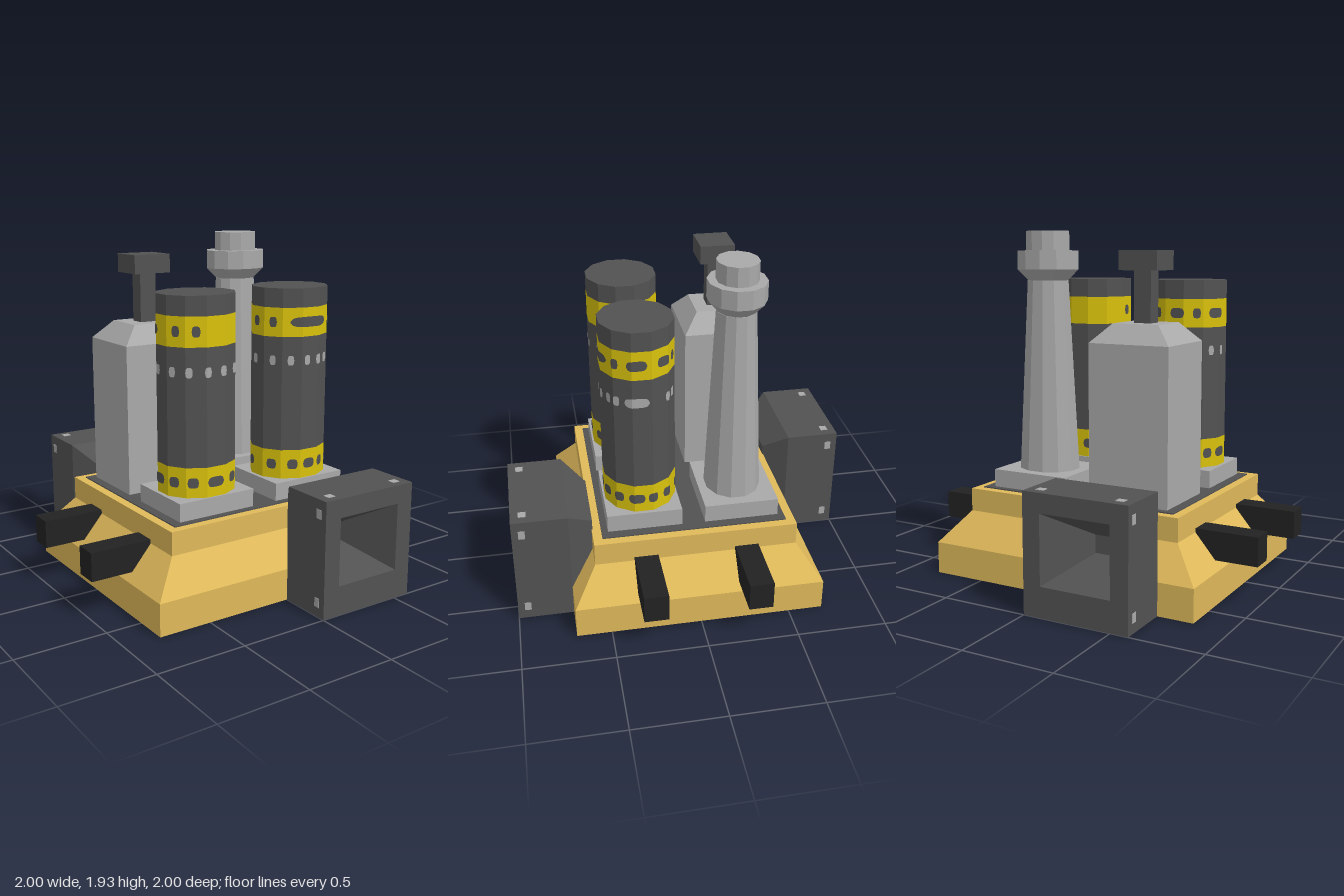
import * as THREE from 'three';

const paint = (name, color) => {
  const m = new THREE.MeshStandardMaterial({ color });
  m.name = name;
  return m;
};

// Flat-faced version of a geometry
function flat(geo) {
  const g = geo.index ? geo.toNonIndexed() : geo;
  g.computeVertexNormals();
  return g;
}

// Closed solid through rectangular sections [halfX, halfZ, y, offsetZ]
function loft(sections) {
  const pos = [], idx = [];
  for (const [hx, hz, y, oz = 0] of sections)
    for (const [sx, sz] of [[1, 1], [1, -1], [-1, -1], [-1, 1]]) pos.push(sx * hx, y, sz * hz + oz);
  for (let i = 0; i < sections.length - 1; i++)
    for (let j = 0; j < 4; j++) {
      const a = i * 4 + j, b = i * 4 + (j + 1) % 4;
      idx.push(a, b, b + 4, a, b + 4, a + 4);
    }
  const t = (sections.length - 1) * 4;
  idx.push(0, 2, 1, 0, 3, 2, t, t + 1, t + 2, t, t + 2, t + 3);
  const g = new THREE.BufferGeometry();
  g.setAttribute('position', new THREE.Float32BufferAttribute(pos, 3));
  g.setIndex(idx);
  return flat(g);
}

// Twelve-sided drum with flats facing the axes; radii are half widths in x
const APOTHEM = Math.cos(Math.PI / 12);
function drum(rTop, rBottom, y0, y1, squash) {
  const g = new THREE.CylinderGeometry(rTop / APOTHEM, rBottom / APOTHEM, y1 - y0, 12);
  g.rotateY(Math.PI / 12).translate(0, (y0 + y1) / 2, 0).scale(1, 1, squash);
  return flat(g);
}

// Thin rounded mark wrapped on a twelve-sided drum, between two angles in degrees
function wrappedMark(from, to, y, halfHeight, r, squash) {
  const n = 16, pos = [], idx = [];
  for (let i = 0; i <= n; i++) {
    const t = i / n, deg = from + (to - from) * t, a = THREE.MathUtils.degToRad(deg);
    const off = THREE.MathUtils.degToRad(deg - 30 * Math.round(deg / 30));
    const d = r / Math.cos(off) + 0.004;
    const h = halfHeight * Math.sqrt(Math.max(0, 1 - Math.abs(2 * t - 1) ** 4)) + 0.002;
    pos.push(Math.sin(a) * d, y - h, Math.cos(a) * d * squash, Math.sin(a) * d, y + h, Math.cos(a) * d * squash);
    if (i < n) idx.push(2 * i, 2 * i + 2, 2 * i + 3, 2 * i, 2 * i + 3, 2 * i + 1);
  }
  const g = new THREE.BufferGeometry();
  g.setAttribute('position', new THREE.Float32BufferAttribute(pos, 3));
  g.setIndex(idx);
  return flat(g);
}

export function createModel() {
  const sand = paint('sandYellow', 0xdfb95a);
  const band = paint('bandYellow', 0xd9c20c);
  const dark = paint('darkGrey', 0x525252);
  const light = paint('lightGrey', 0xa9a9a9);
  const black = paint('black', 0x222222);

  const model = new THREE.Group();
  model.name = 'factory';
  const add = (parent, name, geo, mat, x = 0, y = 0, z = 0) => {
    const m = new THREE.Mesh(geo, mat);
    m.name = name;
    m.position.set(x, y, z);
    parent.add(m);
    return m;
  };
  const box = (w, h, d) => new THREE.BoxGeometry(w, h, d);
  const group = (name, x, z) => {
    const g = new THREE.Group();
    g.name = name;
    g.position.set(x, 0, z);
    model.add(g);
    return g;
  };

  // Base with sloped shoulders and dark deck
  add(model, 'base', loft([[0.8, 0.693, 0], [0.8, 0.693, 0.178], [0.65, 0.565, 0.355], [0.65, 0.565, 0.484]]), sand);
  add(model, 'deck', box(1.2, 0.008, 1.03), dark, 0, 0.486, 0);

  // Side rails
  for (const sx of [-1, 1])
    for (const sz of [-1, 1])
      add(model, 'sideRail', box(0.4, 0.157, 0.132), black, sx * 0.8, 0.298, sz * 0.282);

  // Silos: marks are [from, to] angles, measured from the front towards +x
  const dots = (half, ...centres) => centres.map(c => [c - half, c + half]);
  const silos = [
    {
      x: 0.3125,
      upper: [[-66, -54], [-34, 32], [43, 54], [67, 98], [115, 138], [146, 156], [262, 274]],
      lower: [...dots(8, -60, -27, 24, 50, 105, 132, 165, 225, 255), [-10, 10], [66, 92], [186, 208]],
      windows: [...dots(5, -60, -32, -6, 15, 34, 50, 135, 150, 210, 265), [63, 101]],
    },
    {
      x: -0.3125,
      upper: [...dots(6, -60, -30, 57, 150, 215), [74, 100], [115, 138], [235, 262], [174, 196]],
      lower: [...dots(8, -64, -35, 34, 60, 120, 150, 210, 235), [-14, 12], [78, 102], [168, 192], [250, 276]],
      windows: [...dots(5, -66, -40, -13, 12, 40, 57, 115, 140, 165, 240, 262), [190, 218]],
    },
  ];
  const R = 0.213, SQ = 0.923;
  for (const s of silos) {
    const g = group('silo', s.x, 0.272);
    add(g, 'plinth', box(0.47, 0.105, 0.415), light, 0, 0.5375, 0);
    [[0.59, 0.755, band], [0.755, 1.395, dark], [1.395, 1.555, band], [1.555, 1.66, dark]].forEach(([y0, y1, m]) =>
      add(g, m === band ? 'siloBand' : 'siloShell', drum(R, R, y0, y1, SQ), m));
    for (const [list, y, h, m, name] of [
      [s.upper, 1.476, 0.026, dark, 'upperMark'],
      [s.lower, 0.672, 0.026, dark, 'lowerMark'],
      [s.windows, 1.264, 0.025, light, 'siloWindow'],
    ])
      for (const [a, b] of list) add(g, name, wrappedMark(a, b, y, h, R, SQ), m);
  }

  // Tapered chimney with flared collar
  const chimney = group('chimney', 0.3125, -0.272);
  add(chimney, 'plinth', box(0.47, 0.105, 0.415), light, 0, 0.5375, 0);
  for (const [name, rt, rb, y0, y1] of [
    ['chimneyShaft', 0.118, 0.174, 0.59, 1.66],
    ['chimneyFlare', 0.175, 0.115, 1.66, 1.72],
    ['chimneyCollar', 0.175, 0.175, 1.72, 1.825],
    ['chimneyMouth', 0.124, 0.124, 1.825, 1.932],
  ])
    add(chimney, name, drum(rt, rb, y0, y1, 0.88), light, 0, 0, 0.008);

  // Square tower with hipped roof and dark vent
  const tower = group('tower', -0.3125, -0.272);
  add(tower, 'towerBody', loft([[0.235, 0.207, 0.485], [0.235, 0.207, 1.34], [0.135, 0.122, 1.442]]), light);
  add(tower, 'ventNeck', box(0.1, 0.29, 0.088), dark, 0, 1.58, 0);
  add(tower, 'ventCap', box(0.226, 0.105, 0.197), dark, 0, 1.7725, 0);

  // Intakes with funnel openings, one at the front and one turned to the back
  const funnel = loft([
    [0.2, 0.2175, 0.56], [0.3, 0.3225, 0.693], [0.3, 0.3225, 1],
    [0.2, 0.188, 1, -0.03], [0.053, 0.049, 0.7, -0.005],
  ]).rotateX(Math.PI / 2);
  for (const turn of [0, Math.PI]) {
    const g = group('intake', 0, 0);
    g.rotation.y = turn;
    add(g, 'intakeHousing', funnel, dark, 0.3, 0.3225, 0);
    for (const s of [-1, 1])
      for (const t of [-1, 1]) {
        add(g, 'sideBolt', box(0.006, 0.05, 0.036), light, 0.3 + s * 0.3, 0.3225 + t * 0.243, 0.945);
        add(g, 'topBolt', box(0.046, 0.006, 0.042), light, 0.3 + s * 0.227, t > 0 ? 0.645 : 0.003, 0.935);
      }
  }
  return model;
}
